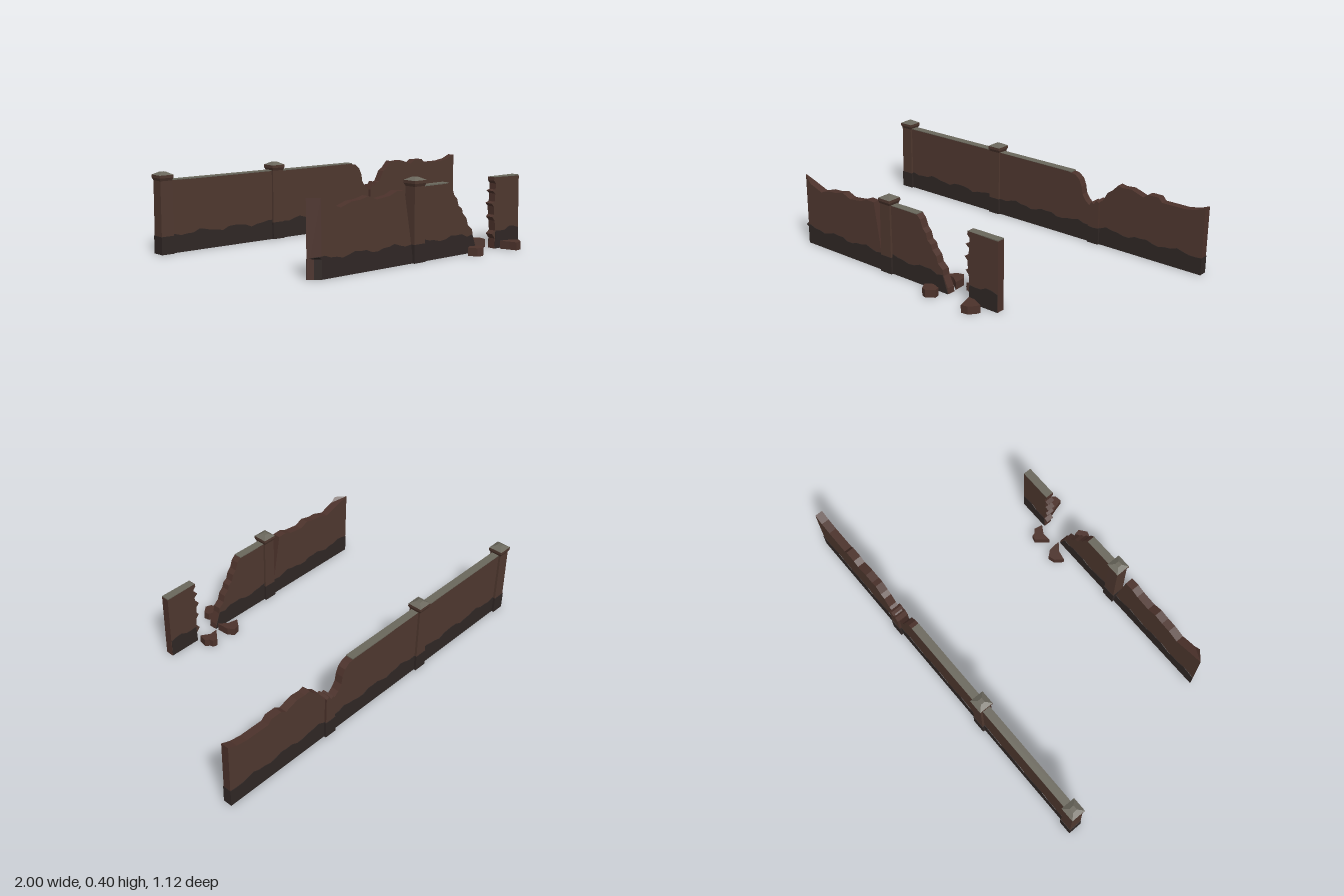
import * as THREE from 'three';

const mat = (name, hex) => {
  const m = new THREE.MeshStandardMaterial({ color: hex });
  m.name = name;
  return m;
};

export function createModel() {
  const root = new THREE.Group();
  root.name = 'ruinedWall';
  const brown = mat('brownPlaster', 0x4f382f);
  const broken = mat('brokenBrick', 0x4c322b);
  const dark = mat('dampBase', 0x302725);
  const grey = mat('greyStone', 0x6a675c);
  const BACK = -0.525, FRONT = 0.432, THICK = 0.042;

  const add = (parent, name, geo, material) => {
    const mesh = new THREE.Mesh(geo, material);
    mesh.name = name;
    parent.add(mesh);
    return mesh;
  };
  const group = (name) => {
    const g = new THREE.Group();
    g.name = name;
    root.add(g);
    return g;
  };
  // Upright slab from an x/y outline, centred on z
  const slab = (pts, depth, z) => {
    const shape = new THREE.Shape(pts.map(([x, y]) => new THREE.Vector2(x, y)));
    const geo = new THREE.ExtrudeGeometry(shape, { depth, bevelEnabled: false });
    return geo.translate(0, 0, z - depth / 2);
  };
  // Wavy damp stain along the foot; low0/low1 are the ends at the ground
  const stain = (parent, low0, low1, top0, top1, z, depth = THICK) => {
    const pts = [[low1, 0.0], [top1, 0.09]];
    const n = Math.max(2, Math.round((top1 - top0) / 0.035));
    for (let i = n - 1; i > 0; i--) {
      const x = top0 + ((top1 - top0) * i) / n;
      pts.push([x, 0.093 + 0.009 * Math.sin(x * 31) + 0.004 * Math.sin(x * 73 + 1)]);
    }
    pts.push([top0, 0.09], [low0, 0.0]);
    add(parent, 'dampStain', slab(pts.reverse(), depth + 0.005, z), dark);
  };
  // Thin stone strip along the intact top edge
  const coping = (parent, x0, x1, y, z) => {
    const geo = new THREE.BoxGeometry(x1 - x0, 0.005, THICK);
    add(parent, 'coping', geo.translate((x0 + x1) / 2, y, z), grey);
  };
  // Square turned profile with hard faces
  const square = (profile) => {
    const pts = profile.map(([half, y]) => new THREE.Vector2(half * Math.SQRT2, y));
    const geo = new THREE.LatheGeometry(pts, 4, Math.PI / 4).toNonIndexed();
    geo.computeVertexNormals();
    return geo;
  };
  const pillar = (name, x, z) => {
    const g = group(name);
    g.position.set(x, 0, z);
    add(g, 'shaft', square([[0.0005, 0], [0.034, 0], [0.032, 0.358], [0.038, 0.372], [0.038, 0.386]]), brown);
    add(g, 'cap', square([[0.038, 0.386], [0.012, 0.4], [0.0005, 0.4]]), grey);
    add(g, 'dampStain', new THREE.BoxGeometry(0.071, 0.088, 0.071).translate(0, 0.044, 0), dark);
  };

  // Rear wall, long intact stretch
  const rearLong = group('rearWallLong');
  add(rearLong, 'wall', slab([
    [-0.96, 0], [0.335, 0], [0.33, 0.2], [0.305, 0.22], [0.285, 0.25], [0.278, 0.29],
    [0.262, 0.325], [0.235, 0.347], [0.19, 0.354], [-0.3, 0.357], [-0.96, 0.357],
  ], THICK, BACK), [brown, broken]);
  stain(rearLong, -0.95, 0.335, -0.95, 0.333, BACK);
  coping(rearLong, -0.94, -0.3, 0.358, BACK);
  coping(rearLong, -0.3, 0.21, 0.355, BACK);

  // Rear wall, crumbled stretch
  const rearShort = group('rearWallCrumbled');
  add(rearShort, 'wall', slab([
    [0.36, 0], [1, 0], [1, 0.35], [0.95, 0.33], [0.89, 0.32], [0.76, 0.32], [0.74, 0.342],
    [0.68, 0.342], [0.65, 0.322], [0.61, 0.336], [0.58, 0.346], [0.53, 0.342], [0.5, 0.348],
    [0.465, 0.31], [0.44, 0.295], [0.41, 0.24], [0.36, 0.22],
  ], THICK, BACK), [brown, broken]);
  stain(rearShort, 0.37, 1.001, 0.37, 1.001, BACK);

  // Snapped pillar
  const stump = group('brokenPillar');
  add(stump, 'stump', slab([
    [0.336, 0], [0.398, 0], [0.396, 0.232], [0.38, 0.24], [0.365, 0.218], [0.35, 0.226], [0.334, 0.2],
  ], 0.064, BACK), [brown, broken]);
  stain(stump, 0.333, 0.401, 0.333, 0.401, BACK, 0.064);

  pillar('rearEndPillar', -0.962, BACK);
  pillar('rearMiddlePillar', -0.3, BACK);
  pillar('frontPillar', -0.197, FRONT);

  // Front wall, right stretch with a slanted broken end
  const frontRight = group('frontWallRight');
  const rightGeo = slab([
    [-0.82, 0], [-0.228, 0], [-0.25, 0.15], [-0.283, 0.345], [-0.33, 0.347], [-0.37, 0.33],
    [-0.45, 0.32], [-0.5, 0.34], [-0.55, 0.328], [-0.6, 0.325], [-0.66, 0.305], [-0.74, 0.333],
    [-0.82, 0.358],
  ], THICK, FRONT);
  const cutEnd = (geo) => {
    const p = geo.attributes.position;
    for (let i = 0; i < p.count; i++) {
      if (p.getX(i) < -0.81 && p.getZ(i) > FRONT) p.setX(i, -0.77);
    }
    geo.computeVertexNormals();
  };
  cutEnd(rightGeo);
  add(frontRight, 'wall', rightGeo, [brown, broken]);
  stain(frontRight, -0.82, -0.23, -0.82, -0.242, FRONT);
  cutEnd(frontRight.children[1].geometry);

  // Front wall, centre stretch stepping down to the gap
  const frontCentre = group('frontWallCentre');
  add(frontCentre, 'wall', slab([
    [-0.2, 0], [0.2, 0], [0.196, 0.03], [0.17, 0.085], [0.165, 0.115], [0.135, 0.14],
    [0.125, 0.175], [0.1, 0.2], [0.093, 0.225], [0.07, 0.24], [0.06, 0.275], [0.04, 0.295],
    [0.025, 0.335], [0.005, 0.355], [-0.2, 0.357],
  ], THICK, FRONT), [brown, broken]);
  stain(frontCentre, -0.2, 0.198, -0.2, 0.165, FRONT);
  coping(frontCentre, -0.17, 0.003, 0.356, FRONT);

  // Front wall, isolated remnant with a toothed edge
  const remnant = group('frontWallRemnant');
  add(remnant, 'wall', slab([
    [0.325, 0], [0.5, 0], [0.5, 0.352], [0.32, 0.357], [0.318, 0.34], [0.332, 0.325],
    [0.33, 0.295], [0.308, 0.29], [0.328, 0.275], [0.326, 0.235], [0.302, 0.228], [0.318, 0.212],
    [0.322, 0.17], [0.308, 0.16], [0.326, 0.14], [0.33, 0.09], [0.308, 0.075], [0.328, 0.05],
  ], THICK, FRONT), [brown, broken]);
  stain(remnant, 0.327, 0.498, 0.332, 0.498, FRONT);
  coping(remnant, 0.322, 0.499, 0.355, FRONT);

  // Fallen chunks, outlined in x/z
  const rubble = group('rubble');
  [
    [[0.1, 0.35], [0.13, 0.31], [0.165, 0.3], [0.19, 0.33], [0.195, 0.395], [0.15, 0.36]],
    [[0.235, 0.365], [0.285, 0.305], [0.31, 0.312], [0.315, 0.33], [0.335, 0.345], [0.325, 0.39], [0.28, 0.362]],
    [[0.09, 0.5], [0.125, 0.475], [0.172, 0.492], [0.178, 0.52], [0.14, 0.55], [0.112, 0.54]],
    [[0.345, 0.475], [0.38, 0.475], [0.44, 0.505], [0.432, 0.525], [0.405, 0.555], [0.37, 0.56], [0.36, 0.52]],
  ].forEach((pts, i) => {
    const geo = slab(pts.map(([x, z]) => [x, -z]), 0.04, 0.02).rotateX(-Math.PI / 2);
    add(rubble, 'chunk' + (i + 1), geo, broken);
  });

  return root;
}
